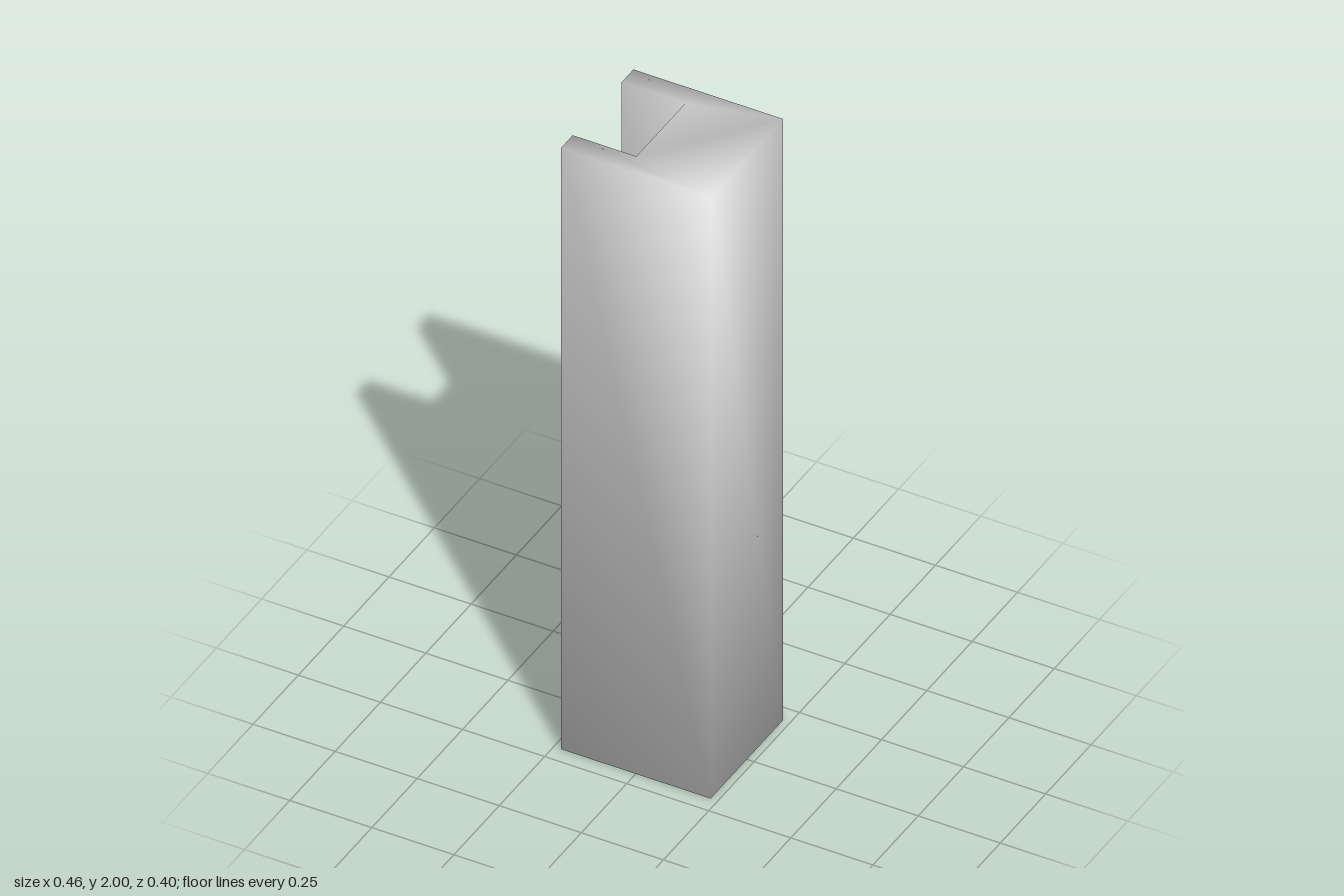
import * as THREE from 'three';
import { mergeVertices } from 'three/addons/utils/BufferGeometryUtils.js';

const HEIGHT = 2;
const HALF_X = 0.228, HALF_Z = 0.2; // outer footprint
const SLOT_X = -0.034, SLOT_Z = 0.135; // slot floor and half width

// Weld the corners and average the face normals there, weighted by corner angle
function smoothByAngle(source) {
  source.deleteAttribute('normal');
  source.deleteAttribute('uv');
  const geometry = mergeVertices(source, 1e-4);
  const { position } = geometry.attributes;
  const index = geometry.index.array;
  const sums = Array.from({ length: position.count }, () => new THREE.Vector3());
  for (let i = 0; i < index.length; i += 3) {
    const ids = [index[i], index[i + 1], index[i + 2]];
    const corners = ids.map((id) => new THREE.Vector3().fromBufferAttribute(position, id));
    const normal = new THREE.Triangle(...corners).getNormal(new THREE.Vector3());
    ids.forEach((id, k) => {
      const toNext = corners[(k + 1) % 3].clone().sub(corners[k]);
      const toLast = corners[(k + 2) % 3].clone().sub(corners[k]);
      sums[id].addScaledVector(normal, toNext.angleTo(toLast));
    });
  }
  const normals = sums.flatMap((sum) => sum.normalize().toArray());
  geometry.setAttribute('normal', new THREE.Float32BufferAttribute(normals, 3));
  return geometry;
}

export function createModel() {
  const group = new THREE.Group();
  group.name = 'slottedPost';

  // U-shaped section, slot open towards -x
  const section = new THREE.Shape([
    [-HALF_X, -HALF_Z], [HALF_X, -HALF_Z], [HALF_X, HALF_Z], [-HALF_X, HALF_Z],
    [-HALF_X, SLOT_Z], [SLOT_X, SLOT_Z], [SLOT_X, -SLOT_Z], [-HALF_X, -SLOT_Z],
  ].map(([x, z]) => new THREE.Vector2(x, z)));

  // Section laid flat and drawn down from the top to the ground
  const extrusion = new THREE.ExtrudeGeometry(section, { depth: HEIGHT, bevelEnabled: false });
  extrusion.rotateX(Math.PI / 2).translate(0, HEIGHT, 0);

  const material = new THREE.MeshStandardMaterial({ color: 0xcccccc });
  const post = new THREE.Mesh(smoothByAngle(extrusion), material);
  post.name = 'channelPost';
  group.add(post);
  return group;
}
